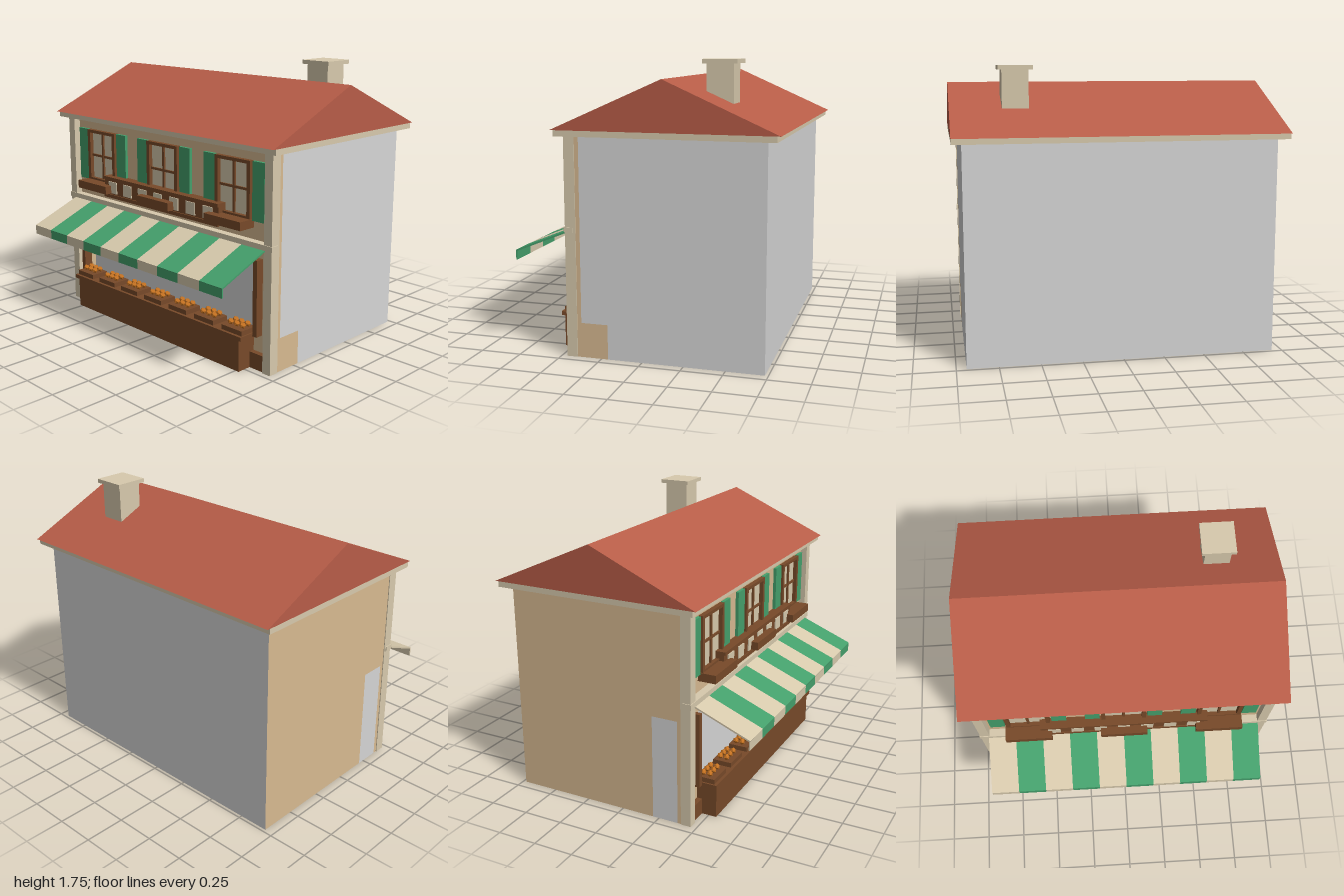
import * as THREE from 'three';

const mat = (name, color) => {
  const m = new THREE.MeshStandardMaterial({ color, flatShading: true });
  m.name = name;
  return m;
};

export function createModel() {
  const model = new THREE.Group();
  model.name = 'shopHouse';

  const plaster = mat('tan plaster', 0xd8ba91);
  const grey = mat('pale grey', 0xd6d6d6);
  const cream = mat('cream trim', 0xd8caad);
  const wood = mat('brown wood', 0x784a29);
  const green = mat('green paint', 0x45a06c);
  const tile = mat('red roof', 0xb85d48);
  const orange = mat('orange fruit', 0xc87422);

  // Box given by its minimum and maximum on each axis
  function box(name, material, x0, x1, y0, y1, z0, z1, parent = model) {
    const mesh = new THREE.Mesh(new THREE.BoxGeometry(x1 - x0, y1 - y0, z1 - z0), material);
    mesh.position.set((x0 + x1) / 2, (y0 + y1) / 2, (z0 + z1) / 2);
    mesh.name = name;
    parent.add(mesh);
    return mesh;
  }
  function group(name) {
    const g = new THREE.Group();
    g.name = name;
    model.add(g);
    return g;
  }

  // Body, material order: +x, -x, top, bottom, front, back
  const W = 0.94;
  box('rearWalls', [grey, plaster, plaster, plaster, grey, grey], -W, W, 0, 1.32, -0.73, 0.21);
  box('frontLowerWalls', [plaster, grey, grey, grey, grey, grey], -W, W, 0, 0.21, 0.21, 0.375);
  box('shopInterior', grey, -W, W, 0.21, 0.66, 0.21, 0.375);
  box('frontUpperWalls', [grey, plaster, plaster, plaster, grey, grey], -W, W, 0.66, 1.32, 0.21, 0.375);

  // Front wall with the shop opening
  const front = new THREE.Shape([[-W, 0], [W, 0], [W, 1.32], [-W, 1.32]].map(p => new THREE.Vector2(...p)));
  front.holes.push(new THREE.Path([[-0.81, 0.19], [-0.81, 0.66], [0.81, 0.66], [0.81, 0.19]].map(p => new THREE.Vector2(...p))));
  const facade = new THREE.Mesh(new THREE.ExtrudeGeometry(front, { depth: 0.045, bevelEnabled: false }), plaster);
  facade.position.z = 0.375;
  facade.name = 'facade';
  model.add(facade);

  // Corner pilasters, door posts and plinths on both sides
  for (const s of [-1, 1]) {
    const pair = (name, m, a, b, ...rest) => box(name, m, Math.min(s * a, s * b), Math.max(s * a, s * b), ...rest);
    pair('pilaster', cream, 0.885, 0.945, 0, 1.32, 0.4, 0.465);
    pair('shopPost', wood, 0.808, 0.84, 0.21, 0.68, 0.41, 0.47);
    pair('plinth', wood, 0.77, 0.885, 0, 0.1, 0.41, 0.455);
  }
  box('midCornice', cream, -0.95, 0.95, 0.752, 0.785, 0.415, 0.47);

  // Roof: eave band, gabled prism, chimney
  box('eaveBand', cream, -0.998, 0.998, 1.32, 1.356, -0.79, 0.505);
  const gable = new THREE.Shape([[-0.525, 1.355], [0.81, 1.355], [0.145, 1.65]].map(p => new THREE.Vector2(...p)));
  const roof = new THREE.Mesh(new THREE.ExtrudeGeometry(gable, { depth: 2, bevelEnabled: false }), tile);
  roof.rotation.y = Math.PI / 2;
  roof.position.x = -1;
  roof.name = 'roof';
  model.add(roof);
  box('chimney', cream, 0.53, 0.69, 1.4, 1.73, -0.48, -0.32);
  box('chimneyCap', cream, 0.505, 0.712, 1.73, 1.755, -0.505, -0.297);

  // Windows with frames, glazing bars, shutters and flower boxes
  for (const x of [-0.615, 0, 0.615]) {
    const g = group('window');
    const y0 = 0.9, y1 = 1.25, z = 0.415;
    box('pane', cream, x - 0.13, x + 0.13, y0, y1 - 0.01, z, 0.424, g);
    for (const s of [-1, 1]) {
      box('frameSide', wood, x + s * 0.13 - 0.013, x + s * 0.13 + 0.013, y0, y1, z, 0.45, g);
      box('shutter', green, x + s * 0.2 - 0.047, x + s * 0.2 + 0.047, y0, y1, z, 0.44, g);
    }
    box('frameTop', wood, x - 0.117, x + 0.117, y1 - 0.02, y1, z, 0.45, g);
    box('frameBottom', wood, x - 0.117, x + 0.117, y0, y0 + 0.02, z, 0.45, g);
    box('verticalBar', wood, x - 0.008, x + 0.008, y0, y1 - 0.02, z, 0.436, g);
    box('horizontalBar', wood, x - 0.117, x + 0.117, 1.068, 1.083, z, 0.434, g);
    box('flowerBox', wood, x - 0.15, x + 0.15, 0.855, 0.907, z, 0.535, g);
  }

  // Sign board with plain cream blocks
  const sign = group('signBoard');
  box('board', wood, -0.54, 0.54, 0.83, 0.965, 0.415, 0.482, sign);
  box('upperRail', wood, -0.54, 0.54, 0.945, 0.965, 0.48, 0.49, sign);
  box('lowerRail', wood, -0.54, 0.54, 0.825, 0.848, 0.48, 0.49, sign);
  for (let i = -3; i <= 3; i++) {
    box('signBlock', cream, i * 0.15 - 0.04, i * 0.15 + 0.04, 0.857, 0.935, 0.48, 0.489, sign);
  }

  // Striped awning with a hanging valance
  const awning = group('awning');
  const pitch = Math.atan2(0.14, 0.345), reach = Math.hypot(0.14, 0.345);
  for (let i = 0; i < 10; i++) {
    const m = i % 2 ? green : cream, x0 = -0.893 + i * 0.1786, x1 = x0 + 0.1786;
    const stripe = box('awningStripe', m, x0, x1, 0, 0.01, 0, reach, awning);
    stripe.position.set((x0 + x1) / 2, 0.68, 0.637);
    stripe.rotation.x = pitch;
    box('valance', m, x0, x1, 0.555, 0.614, 0.802, 0.81, awning);
  }

  // Counter with crates of fruit
  box('counter', wood, -0.775, 0.775, 0, 0.2, 0.41, 0.55);
  box('counterTop', wood, -0.8, 0.8, 0.2, 0.225, 0.41, 0.562);
  const fruitGeometry = new THREE.IcosahedronGeometry(0.02, 0);
  for (let i = -3; i <= 3; i++) {
    const g = group('fruitCrate');
    const x = i * 0.236;
    box('crate', wood, x - 0.082, x + 0.082, 0.225, 0.255, 0.422, 0.543, g);
    for (let j = -1; j <= 1; j++) {
      for (const z of [0.455, 0.498]) {
        const fruit = new THREE.Mesh(fruitGeometry, orange);
        fruit.position.set(x + j * 0.048, 0.272, z);
        fruit.name = 'fruit';
        g.add(fruit);
      }
    }
  }
  return model;
}
